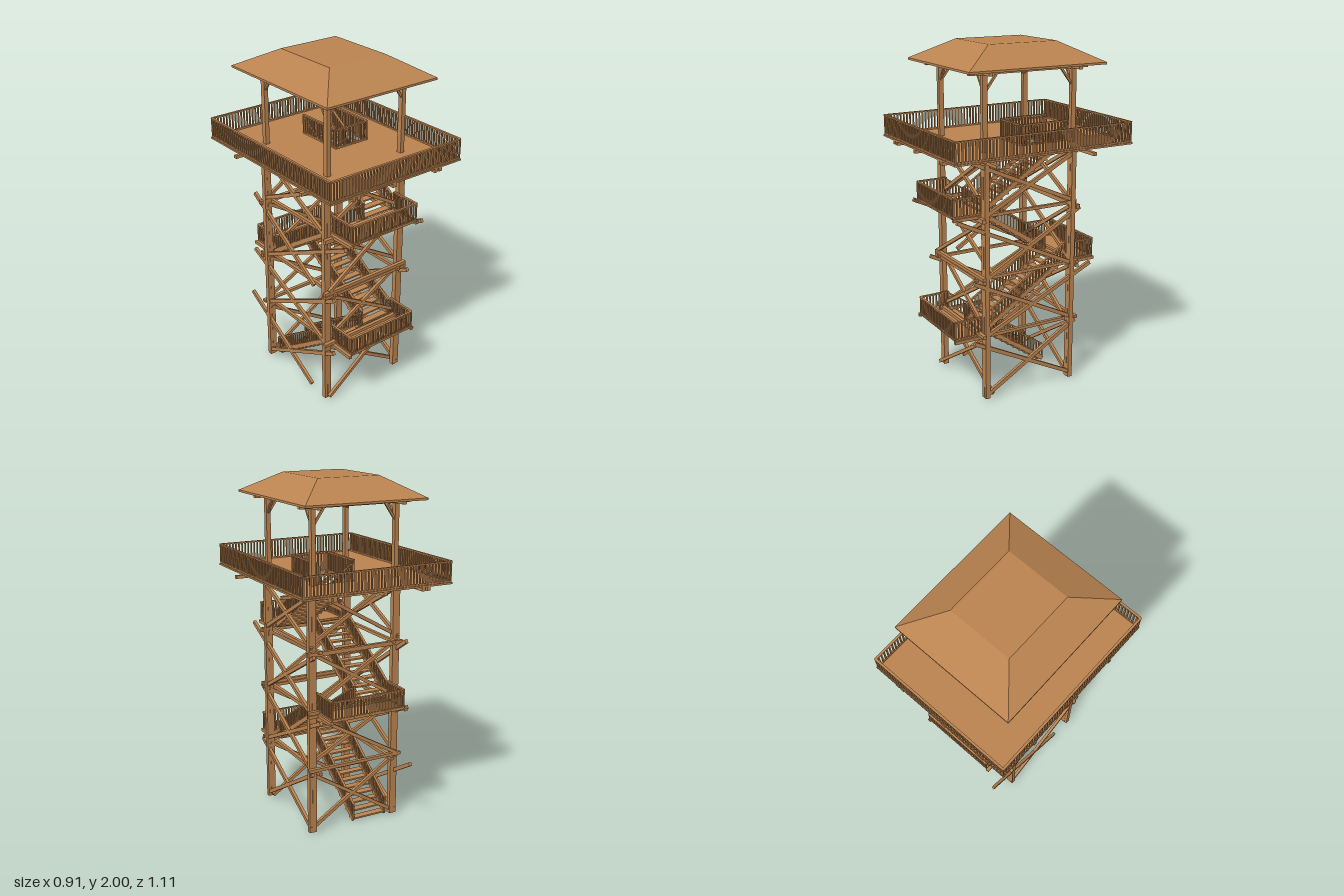
import * as THREE from 'three';

const wood = new THREE.MeshStandardMaterial({ color: 0xba8350 });
const thinWood = new THREE.MeshStandardMaterial({ color: 0xba8350, side: THREE.DoubleSide, flatShading: true });

// Box given by its minimum and maximum corners
function box(parent, name, x0, x1, y0, y1, z0, z1) {
  const m = new THREE.Mesh(new THREE.BoxGeometry(x1 - x0, y1 - y0, z1 - z0), wood);
  m.position.set((x0 + x1) / 2, (y0 + y1) / 2, (z0 + z1) / 2);
  m.name = name;
  parent.add(m);
}

// Straight timber between two points
function bar(parent, name, a, b, w, h = w) {
  const p = new THREE.Vector3(...a), q = new THREE.Vector3(...b);
  const m = new THREE.Mesh(new THREE.BoxGeometry(w, h, p.distanceTo(q)), wood);
  m.position.copy(p).add(q).multiplyScalar(0.5);
  m.lookAt(q);
  m.name = name;
  parent.add(m);
}

// Railing standing on the line a-b: top rail, bottom rail and upright balusters
function railing(parent, name, a, b, height, spacing = 0.02) {
  const g = new THREE.Group();
  g.name = name;
  const p = new THREE.Vector3(...a), q = new THREE.Vector3(...b);
  const lift = (v, d) => [v.x, v.y + d, v.z];
  bar(g, 'topRail', lift(p, height - 0.004), lift(q, height - 0.004), 0.014, 0.008);
  bar(g, 'bottomRail', lift(p, 0.006), lift(q, 0.006), 0.01, 0.008);
  const n = Math.round(p.distanceTo(q) / spacing);
  for (let i = 0; i <= n; i++) {
    const v = p.clone().lerp(q, i / n), r = 0.004;
    box(g, 'baluster', v.x - r, v.x + r, v.y, v.y + height - 0.005, v.z - r, v.z + r);
  }
  parent.add(g);
}

// Flight of open treads between two stringers, with a rail on both sides
function flight(parent, x0, x1, y0, y1, z0, z1) {
  const g = new THREE.Group();
  g.name = 'stairFlight';
  const n = 13;
  for (let i = 0; i < n; i++) {
    const t = (i + 0.5) / n, y = y0 + (y1 - y0) * t - 0.006, z = z0 + (z1 - z0) * t;
    box(g, 'tread', x0, x1, y, y + 0.009, z - 0.022, z + 0.022);
  }
  for (const x of [x0 + 0.006, x1 - 0.006]) {
    bar(g, 'stringer', [x, y0 + 0.008, z0], [x, y1 + 0.005, z1], 0.012, 0.024);
    railing(g, 'stairRailing', [x, y0 + 0.015, z0], [x, y1 + 0.01, z1], 0.094, 0.025);
  }
  parent.add(g);
}

// Landing with a floor, carrying beams and rails on its three outer sides
function landing(parent, y, s) {
  const g = new THREE.Group();
  g.name = 'landing';
  const zi = 0.27 * s, zo = 0.455 * s, x0 = -0.222, x1 = 0.23;
  box(g, 'landingFloor', x0, x1, y - 0.008, y + 0.004, Math.min(zi, zo), Math.max(zi, zo));
  railing(g, 'landingRailing', [x0, y, zo], [x1, y, zo], 0.113);
  for (const x of [x0, x1]) railing(g, 'landingRailing', [x, y, zi], [x, y, zo], 0.113);
  for (const x of [-0.235, 0.235])
    bar(g, 'sideBeam', [x, y - 0.008, -0.33 * s], [x, y - 0.008, 0.463 * s], 0.02, 0.018);
  parent.add(g);
}

// Hipped roof shell with a flat top
function roof() {
  const rings = [[0.37, 1.876, 0.425], [0.37, 1.888, 0.425], [0.188, 2, 0.212]];
  const pos = [], idx = [];
  for (const [x, y, z] of rings) pos.push(-x, y, z, x, y, z, x, y, -z, -x, y, -z);
  for (let r = 0; r < 2; r++)
    for (let i = 0; i < 4; i++) {
      const a = r * 4 + i, b = r * 4 + (i + 1) % 4;
      idx.push(a, b, b + 4, a, b + 4, a + 4);
    }
  idx.push(8, 9, 10, 8, 10, 11);
  const geo = new THREE.BufferGeometry();
  geo.setAttribute('position', new THREE.Float32BufferAttribute(pos, 3));
  geo.setIndex(idx);
  const flat = geo.toNonIndexed();
  flat.computeVertexNormals();
  const m = new THREE.Mesh(flat, thinWood);
  m.name = 'roof';
  return m;
}

export function createModel() {
  const model = new THREE.Group();
  const levels = [0, 0.38, 0.728, 1.09, 1.44];

  // Corner posts, thicker below the deck, with knee braces under the roof
  for (const sx of [-1, 1])
    for (const sz of [-1, 1]) {
      const post = new THREE.Group();
      post.name = 'cornerPost';
      const x = 0.257 * sx, z = 0.28 * sz;
      box(post, 'post', x - 0.013, x + 0.013, 0.005, 1.865, z - 0.015, z + 0.015);
      const xo = 0.278 * sx;
      box(post, 'postPlank', xo - 0.01, xo + 0.01, 0.005, 1.42, z - 0.014, z + 0.014);
      bar(post, 'kneeBrace', [x, 1.755, z], [0.185 * sx, 1.86, z], 0.012);
      bar(post, 'kneeBrace', [x, 1.755, z], [x, 1.86, 0.2 * sz], 0.012);
      model.add(post);
    }

  // Roof and its beams
  model.add(roof());
  for (const s of [-1, 1]) {
    bar(model, 'roofCrossBeam', [-0.335, 1.866, 0.28 * s], [0.335, 1.866, 0.28 * s], 0.024);
    bar(model, 'roofSideBeam', [0.257 * s, 1.866, -0.37], [0.257 * s, 1.866, 0.37], 0.024);
  }

  // Deck with a stair opening
  const hx0 = 0, hx1 = 0.222, hz0 = -0.27, hz1 = 0.03;
  const outline = (x0, x1, y0, y1, C) => {
    const s = new C();
    s.moveTo(x0, y0);
    s.lineTo(x1, y0);
    s.lineTo(x1, y1);
    s.lineTo(x0, y1);
    s.closePath();
    return s;
  };
  const deckShape = outline(-0.453, 0.453, -0.556, 0.556, THREE.Shape);
  deckShape.holes.push(outline(hx0, hx1, -hz1, -hz0, THREE.Path));
  const deckGeo = new THREE.ExtrudeGeometry(deckShape, { depth: 0.01, bevelEnabled: false });
  deckGeo.rotateX(-Math.PI / 2);
  const deck = new THREE.Mesh(deckGeo, wood);
  deck.position.y = 1.434;
  deck.name = 'deck';
  model.add(deck);

  // Deck joists and cross beams
  for (const x of [-0.3, -0.268, -0.03, 0.268, 0.3])
    bar(model, 'deckJoist', [x, 1.424, -0.556], [x, 1.424, 0.556], 0.022);
  for (const z of [-0.305, 0.305])
    bar(model, 'deckCrossBeam', [-0.453, 1.404, z], [0.453, 1.404, z], 0.022, 0.018);

  // Deck railings, outer and around the opening
  const rx = 0.445, rz = 0.548, ry = 1.444, rh = 0.118;
  for (const s of [-1, 1]) {
    railing(model, 'deckRailing', [-rx, ry, rz * s], [rx, ry, rz * s], rh);
    railing(model, 'deckRailing', [rx * s, ry, -rz], [rx * s, ry, rz], rh);
  }
  railing(model, 'openingRailing', [hx0, ry, hz1], [hx1, ry, hz1], rh);
  for (const x of [hx0, hx1]) railing(model, 'openingRailing', [x, ry, hz0], [x, ry, hz1], rh);

  // Zigzag stairs and landings
  for (let i = 0; i < 4; i++) {
    const s = i % 2 ? -1 : 1;
    const [x0, x1] = i % 2 ? [0, 0.215] : [-0.23, -0.005];
    flight(model, x0, x1, levels[i], levels[i + 1], -0.27 * s, 0.27 * s);
    if (i < 3) landing(model, levels[i + 1], s);
  }

  // Horizontal beams on the front and back of the frame
  for (const y of [0.393, 0.715, 0.736, 1.07])
    for (const z of [-0.305, 0.305]) {
      const h = y > 1 ? 0.024 : 0.018;
      bar(model, 'crossBeam', [-0.3, y, z], [0.3, y, z], 0.022, h);
    }

  // Crossed braces on the front and back; one face of each storey leans
  for (let i = 0; i < 4; i++) {
    const y0 = levels[i] + 0.02, y1 = levels[i + 1] - 0.02;
    for (const s of [-1, 1]) {
      const lean = (s > 0) === (i % 2 === 0) ? 0.035 : 0;
      for (const d of [-1, 1]) {
        const spread = (0.275 - d * lean) * s, tight = 0.268 * s;
        // The top storey spreads at its upper end
        const [zb, zt] = i === 3 ? [tight, spread] : [spread, tight];
        bar(model, 'faceBrace', [0.27 * d, y0, zb], [-0.27 * d, y1, zt], 0.018, 0.02);
      }
    }
  }

  // Long side braces per storey: [z, y] to [z, y]
  const sideBraces = [
    [[0.36, 0.36], [-0.29, 0.03]],
    [[0.36, 0.715], [-0.31, 0.38]], [[-0.41, 0.71], [0.28, 0.39]],
    [[0.46, 1.08], [-0.28, 0.73]],
    [[0.4, 1.41], [-0.3, 1.1]], [[-0.31, 1.4], [0.27, 1.1]],
  ];
  const sideBrace = (x, [a, b]) =>
    bar(model, 'sideBrace', [x, a[1], a[0]], [x, b[1], b[0]], 0.018, 0.022);
  for (const x of [-0.275, 0.275]) sideBraces.forEach((p) => sideBrace(x, p));
  sideBrace(-0.275, [[-0.46, 0.38], [0.15, 0.02]]);
  sideBrace(0.275, [[-0.31, 0.37], [0.29, 0.02]]);
  sideBrace(-0.275, [[-0.39, 1.095], [0.18, 0.73]]);
  sideBrace(0.275, [[-0.33, 1.06], [0.28, 0.73]]);

  return model;
}
